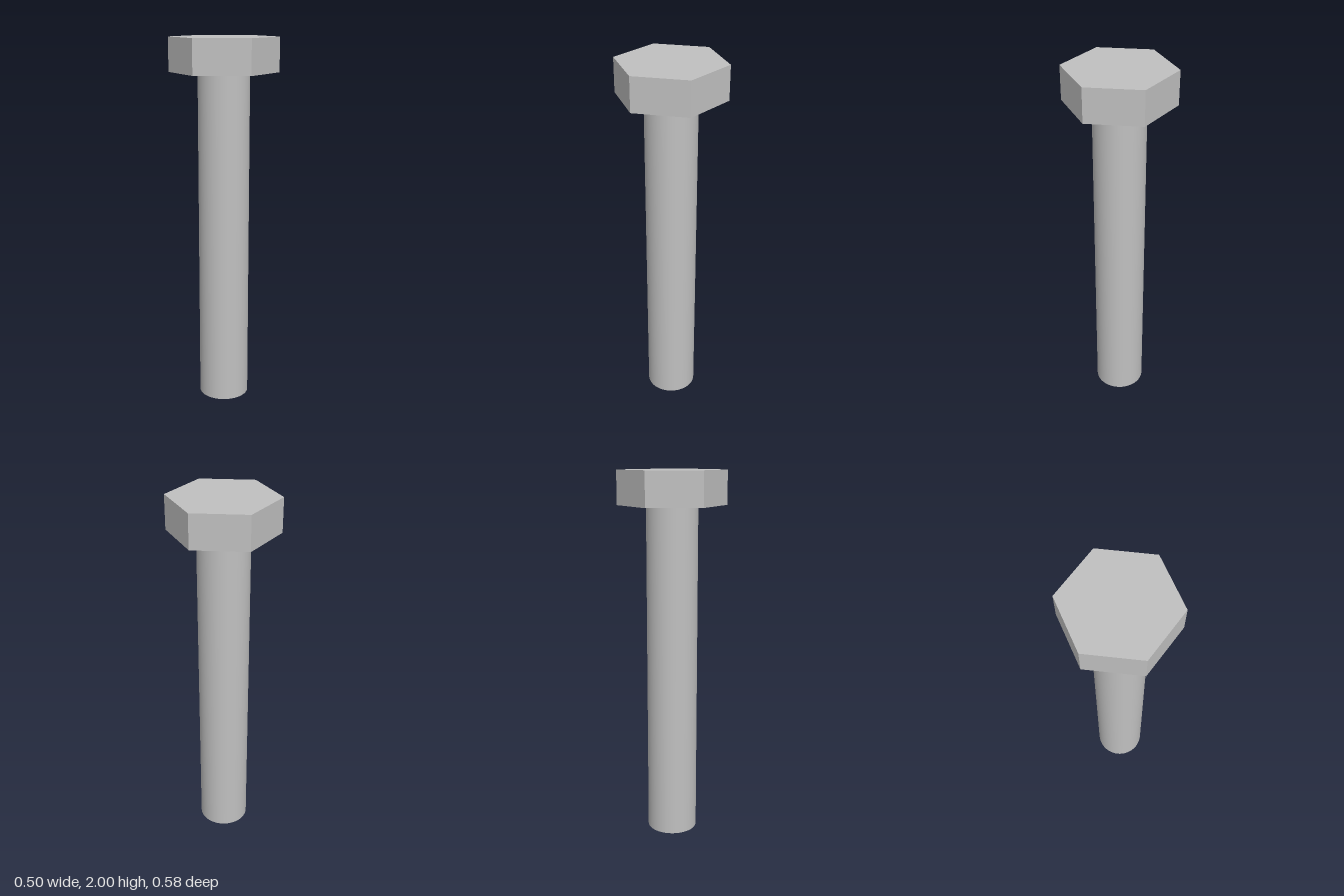
import * as THREE from 'three';

export function createModel() {
  const steel = new THREE.MeshStandardMaterial({ color: 0xc0c0c0 });
  steel.name = 'steel grey';

  const bolt = new THREE.Group();
  bolt.name = 'hexBolt';

  const headHeight = 0.18;
  const shankLength = 2 - headHeight;

  // Six-sided head with its corners pointing to front and back
  const headGeometry = new THREE.CylinderGeometry(0.289, 0.289, headHeight, 6).toNonIndexed();
  headGeometry.computeVertexNormals();
  const head = new THREE.Mesh(headGeometry, steel);
  head.name = 'head';
  head.position.y = shankLength + headHeight / 2;

  // Plain round shank, smooth sides and a flat end
  const shank = new THREE.Mesh(new THREE.CylinderGeometry(0.137, 0.137, shankLength, 64), steel);
  shank.name = 'shank';
  shank.position.y = shankLength / 2;

  bolt.add(head, shank);
  return bolt;
}
